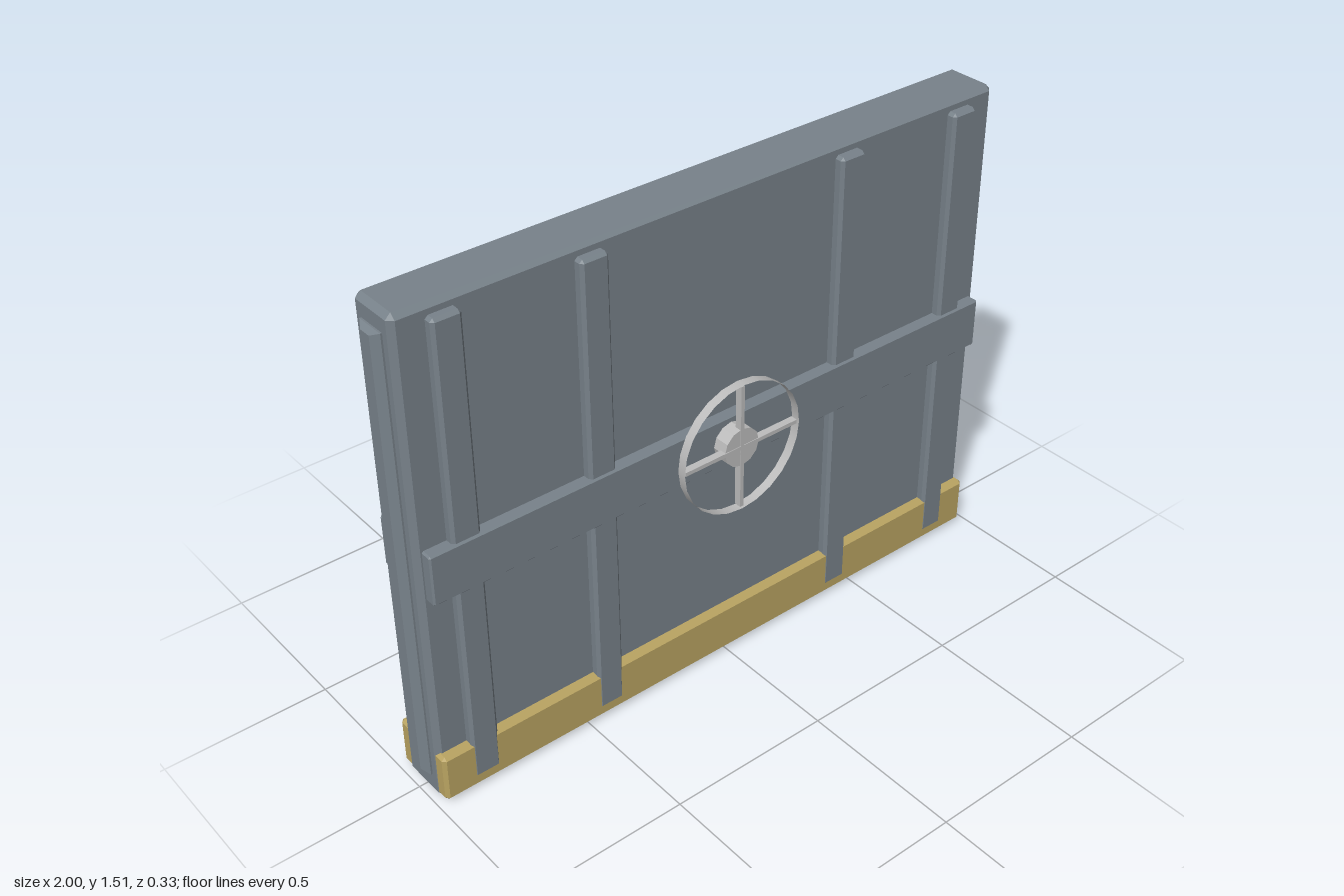
import * as THREE from 'three';
import { ConvexGeometry } from 'three/addons/geometries/ConvexGeometry.js';

const steel = new THREE.MeshStandardMaterial({ color: 0x78828a });
steel.name = 'blue grey steel';
const ochre = new THREE.MeshStandardMaterial({ color: 0xbaa462 });
ochre.name = 'ochre paint';
const metal = new THREE.MeshStandardMaterial({ color: 0xbdbdbd });
metal.name = 'bare metal';
const rimMetal = metal;
rimMetal.side = THREE.DoubleSide;

// Box between two corners with every edge chamfered by c
function chamferBox(name, min, max, c, material) {
  const size = max.map((v, i) => (v - min[i]) / 2);
  const mid = max.map((v, i) => (v + min[i]) / 2);
  const points = [];
  for (let axis = 0; axis < 3; axis++) {
    for (const sx of [-1, 1]) for (const sy of [-1, 1]) for (const sz of [-1, 1]) {
      const p = [sx, sy, sz].map((s, i) => s * (size[i] - (i === axis ? 0 : c)));
      points.push(new THREE.Vector3(...p));
    }
  }
  const mesh = new THREE.Mesh(new ConvexGeometry(points), material);
  mesh.name = name;
  mesh.position.set(...mid);
  return mesh;
}

// Hand wheel centred on its own origin, with the axle along z
function handWheel() {
  const wheel = new THREE.Group();
  wheel.name = 'handWheel';
  const add = (name, geometry, z) => {
    const mesh = new THREE.Mesh(geometry, metal);
    mesh.name = name;
    mesh.position.z = z;
    wheel.add(mesh);
  };
  const rim = new THREE.CylinderGeometry(0.203, 0.203, 0.028, 24, 1, true);
  add('wheelRim', rim.rotateX(Math.PI / 2), 0.151);
  const hub = new THREE.CylinderGeometry(0.06, 0.06, 0.06, 12).toNonIndexed();
  hub.computeVertexNormals();
  add('wheelHub', hub.rotateX(Math.PI / 2), 0.13);
  add('acrossSpoke', new THREE.BoxGeometry(0.394, 0.012, 0.022), 0.151);
  add('uprightSpoke', new THREE.BoxGeometry(0.012, 0.394, 0.022), 0.151);
  wheel.position.y = 0.757;
  return wheel;
}

// Everything mounted on one face of the door
function doorFace(name) {
  const face = new THREE.Group();
  face.name = name;
  for (const x of [-0.845, -0.425, 0.425, 0.845]) {
    face.add(chamferBox('verticalRib', [x - 0.043, 0.04, 0.05], [x + 0.043, 1.475, 0.108], 0.009, steel));
  }
  face.add(chamferBox('crossBar', [-0.96, 0.68, 0.05], [0.96, 0.835, 0.114], 0.005, steel));
  face.add(chamferBox('kickPlate', [-0.978, 0.01, 0.05], [0.978, 0.162, 0.1065], 0.01, ochre));
  face.add(handWheel());
  return face;
}

// Raised strip with sloping sides along a door edge
function sideRail(side) {
  const points = [];
  for (const [x, z, inset] of [[0.97, 0.045, 0], [0.985, 0.045, 0], [1, 0.018, 0.012]]) {
    for (const s of [-1, 1]) for (const y of [0.07 + inset, 1.45 - inset]) {
      points.push(new THREE.Vector3(x * side, y, z * s));
    }
  }
  const mesh = new THREE.Mesh(new ConvexGeometry(points), steel);
  mesh.name = side > 0 ? 'leftRail' : 'rightRail';
  return mesh;
}

export function createModel() {
  const door = new THREE.Group();
  door.name = 'door';
  door.add(chamferBox('doorSlab', [-0.98, 0, -0.08], [0.98, 1.507, 0.08], 0.016, steel));
  door.add(sideRail(1), sideRail(-1));
  const back = doorFace('backFace');
  back.rotation.y = Math.PI;
  door.add(doorFace('frontFace'), back);
  return door;
}
